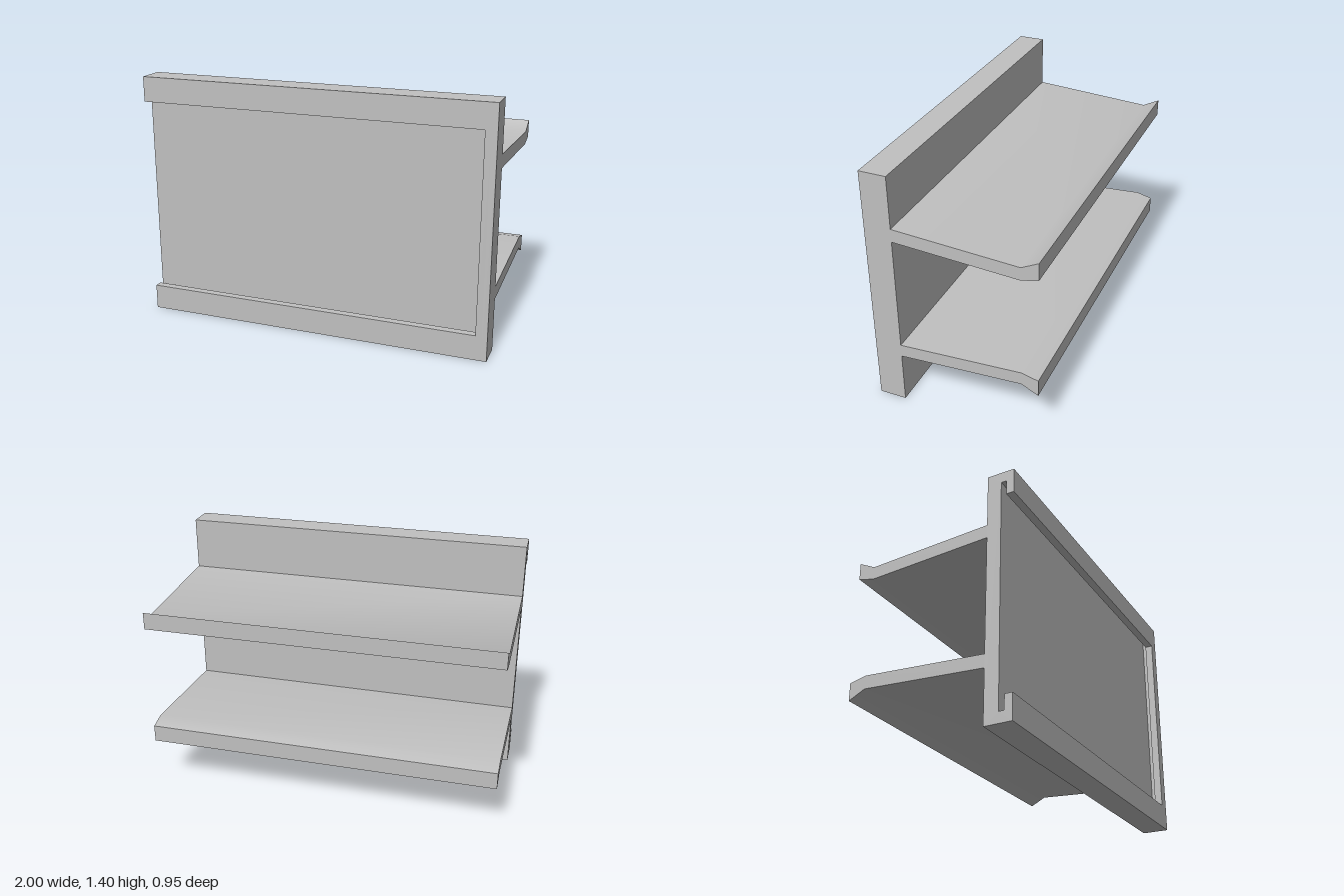
import * as THREE from 'three';
import { toCreasedNormals } from 'three/addons/utils/BufferGeometryUtils.js';

// Extrudes a [z, y] profile along x
function extrudeAlongX(profile, x0, x1) {
  const shape = new THREE.Shape(profile.map(([z, y]) => new THREE.Vector2(-z, y)));
  const geo = new THREE.ExtrudeGeometry(shape, { depth: x1 - x0, bevelEnabled: false });
  geo.rotateY(Math.PI / 2);
  geo.translate(x0, 0, 0);
  return toCreasedNormals(geo, THREE.MathUtils.degToRad(42));
}

export function createModel() {
  const group = new THREE.Group();
  const grey = new THREE.MeshStandardMaterial({ color: 0xc0c0c0 });
  grey.name = 'grey plastic';

  const add = (name, geo) => {
    const mesh = new THREE.Mesh(geo, grey);
    mesh.name = name;
    group.add(mesh);
  };

  const H = 1.4, back = 0.32, panel = 0.4, lip = 0.43, front = 0.474;
  const slot = 0.06, edge = 0.142; // slot bottom and visible lip height
  const slotEnd = 0.97, lipEnd = 0.935;

  // Card holder: back panel with undercut lips above and below, open at -x
  add('cardHolder', extrudeAlongX([
    [back, 0], [front, 0], [front, edge], [lip, edge], [lip, slot], [panel, slot],
    [panel, H - slot], [lip, H - slot], [lip, H - edge], [front, H - edge], [front, H], [back, H],
  ], -1, slotEnd));

  // Closed end and its lip
  add('endWall', extrudeAlongX([[back, 0], [front, 0], [front, H], [back, H]], slotEnd, 1));
  add('endLip', extrudeAlongX(
    [[lip, edge], [front, edge], [front, H - edge], [lip, H - edge]], lipEnd, slotEnd));

  // Rear clip arms with flared tips
  add('upperArm', extrudeAlongX([
    [back, 1.103], [-0.38, 1.06], [-0.474, 1.108], [-0.474, 1.01], [-0.38, 0.986], [back, 1.028],
  ], -1, 1));
  add('lowerArm', extrudeAlongX([
    [back, 0.373], [-0.38, 0.415], [-0.474, 0.392], [-0.474, 0.294], [-0.38, 0.341], [back, 0.299],
  ], -1, 1));

  return group;
}
